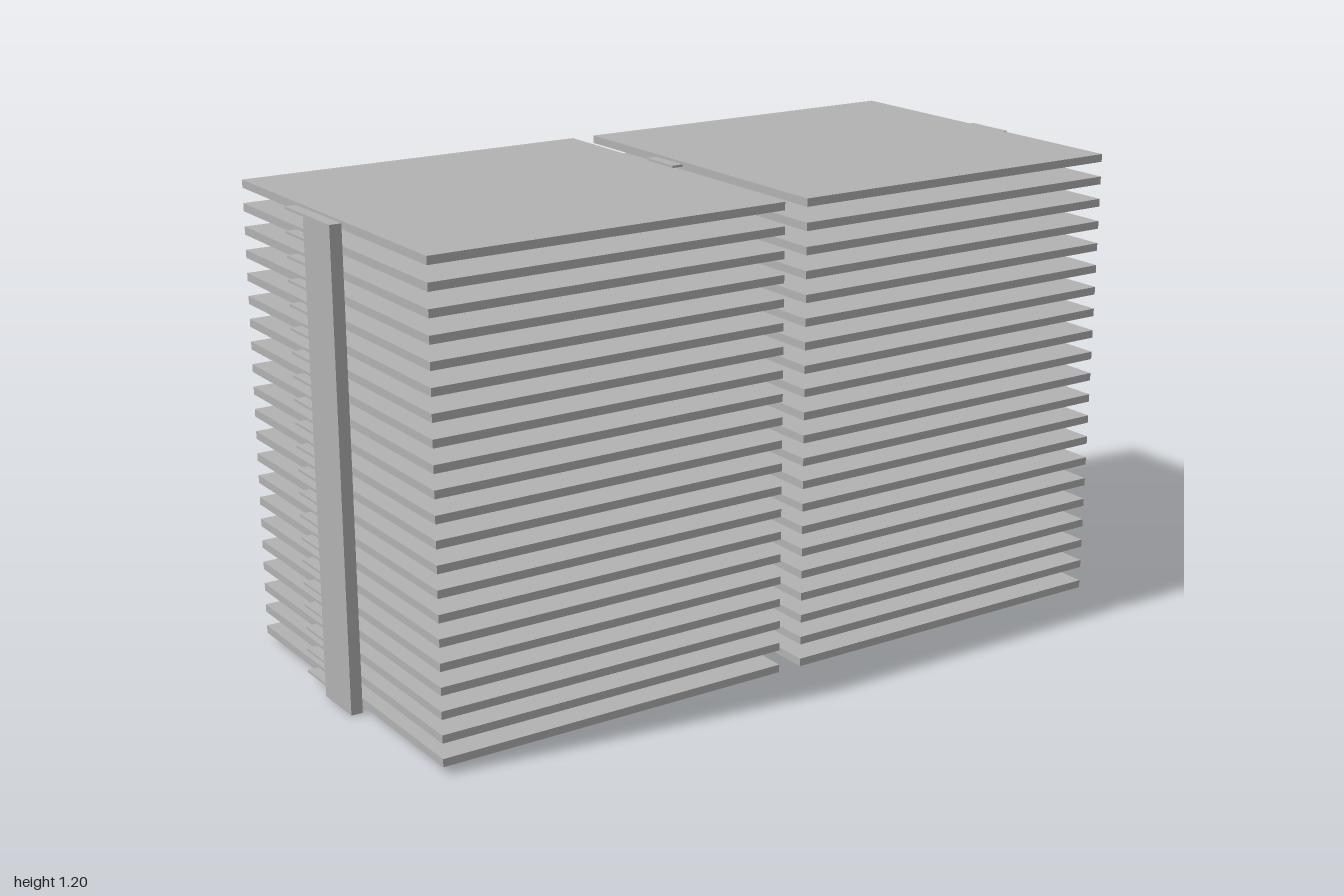
import * as THREE from 'three';

const LEVELS = 21;
const FIRST_Y = 0.029;
const STEP = 0.058;
const PANEL = 0.936;

export function createModel() {
  const model = new THREE.Group();
  model.name = 'twinShelfStacks';

  const grey = new THREE.MeshStandardMaterial({ color: 0xb2b2b2 });
  grey.name = 'plain grey';

  const panelGeometry = new THREE.BoxGeometry(PANEL, 0.02, PANEL);
  const tabGeometry = new THREE.BoxGeometry(0.029, 0.006, 0.117);
  const postGeometry = new THREE.BoxGeometry(0.03, 1.193, 0.136);

  function add(parent, name, geometry, x, y, z) {
    const mesh = new THREE.Mesh(geometry, grey);
    mesh.name = name;
    mesh.position.set(x, y, z);
    parent.add(mesh);
  }

  // Two stacks of square panels, each panel with a thin tab on its -x edge
  for (const [name, x] of [['rightStack', -0.502], ['leftStack', 0.498]]) {
    const stack = new THREE.Group();
    stack.name = name;
    stack.position.x = x;
    for (let i = 0; i < LEVELS; i++) {
      const y = FIRST_Y + i * STEP;
      add(stack, 'panel', panelGeometry, 0, y, 0);
      add(stack, 'tab', tabGeometry, -PANEL / 2 - 0.0145, y, -0.109);
    }
    model.add(stack);
  }

  // Upright posts on the outer ends
  for (const side of [-1, 1]) {
    add(model, side < 0 ? 'rightPost' : 'leftPost', postGeometry, side * 0.985, 0.5965, 0);
  }

  return model;
}
